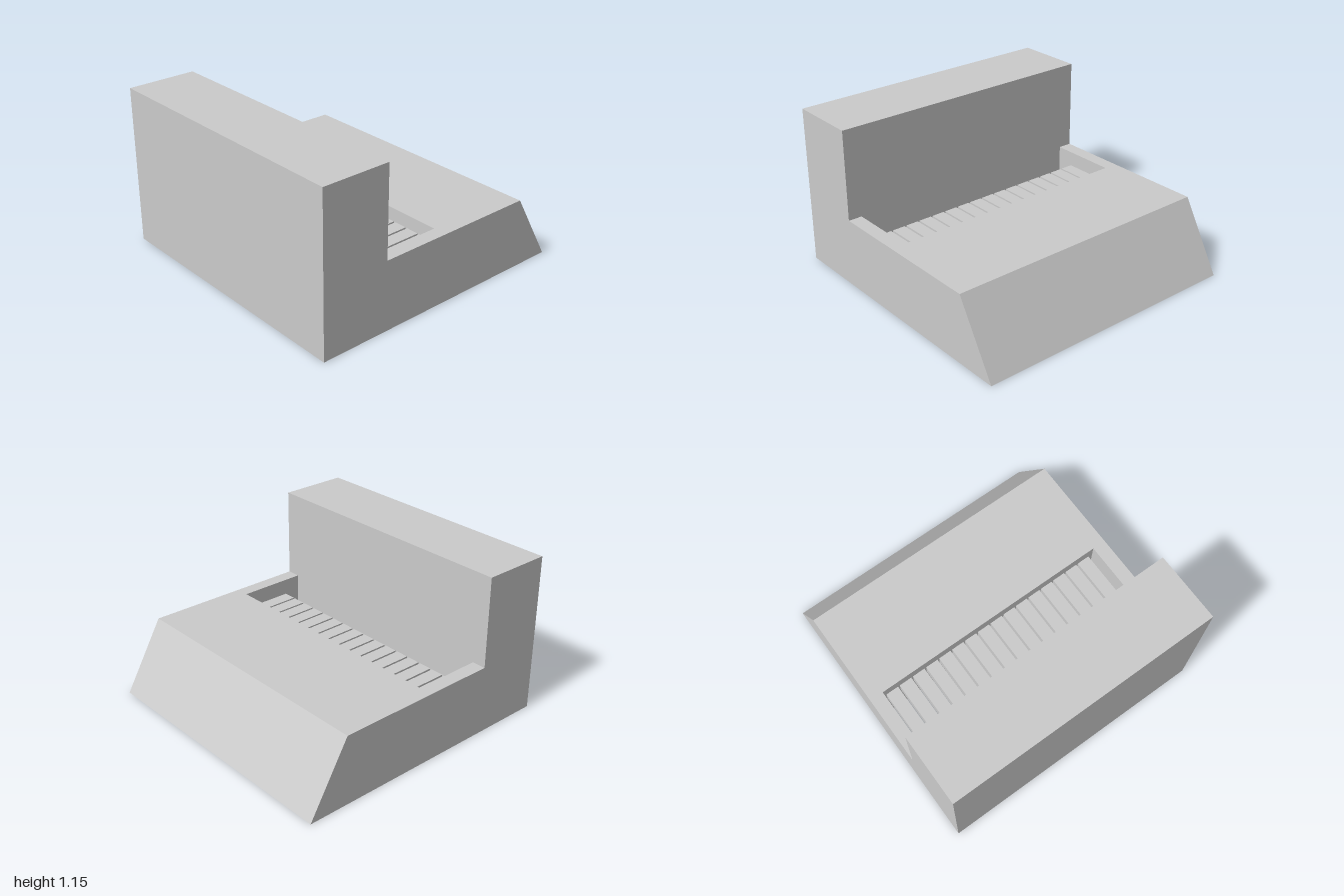
import * as THREE from 'three';

export function createModel() {
  const group = new THREE.Group();
  const material = new THREE.MeshStandardMaterial({ color: 0xcccccc, flatShading: true });

  function add(name, geometry, x = 0, y = 0, z = 0) {
    const mesh = new THREE.Mesh(geometry, material);
    mesh.name = name;
    mesh.position.set(x, y, z);
    group.add(mesh);
  }

  // Tall wall along the front
  add('frontWall', new THREE.BoxGeometry(2, 1.15, 0.5), 0, 0.575, 0.75);

  // Low deck: U-shaped plan whose two cheeks meet the wall and leave an open slot
  const plan = new THREE.Shape([
    [-1, 1], [-1, -0.5], [-0.9, -0.5], [-0.9, 0],
    [0.9, 0], [0.9, -0.5], [1, -0.5], [1, 1],
  ].map(([x, y]) => new THREE.Vector2(x, y)));
  const deck = new THREE.ExtrudeGeometry(plan, { depth: 0.5, bevelEnabled: false });
  deck.rotateX(-Math.PI / 2);

  // Pull the top back edge forward to make the sloping back
  const pos = deck.attributes.position;
  for (let i = 0; i < pos.count; i++) {
    if (pos.getZ(i) < -0.99 && pos.getY(i) > 0.4) pos.setZ(i, -0.71);
  }
  deck.computeVertexNormals();
  add('deck', deck);

  // Row of keys reaching into the slot from the deck
  const keyCount = 16, keyWidth = 0.095, pitch = 0.11;
  const keyGeometry = new THREE.BoxGeometry(keyWidth, 0.1, 0.35);
  for (let i = 0; i < keyCount; i++) {
    add(`key${i + 1}`, keyGeometry, -0.88 + keyWidth / 2 + i * pitch, 0.355, 0.175);
  }

  return group;
}
